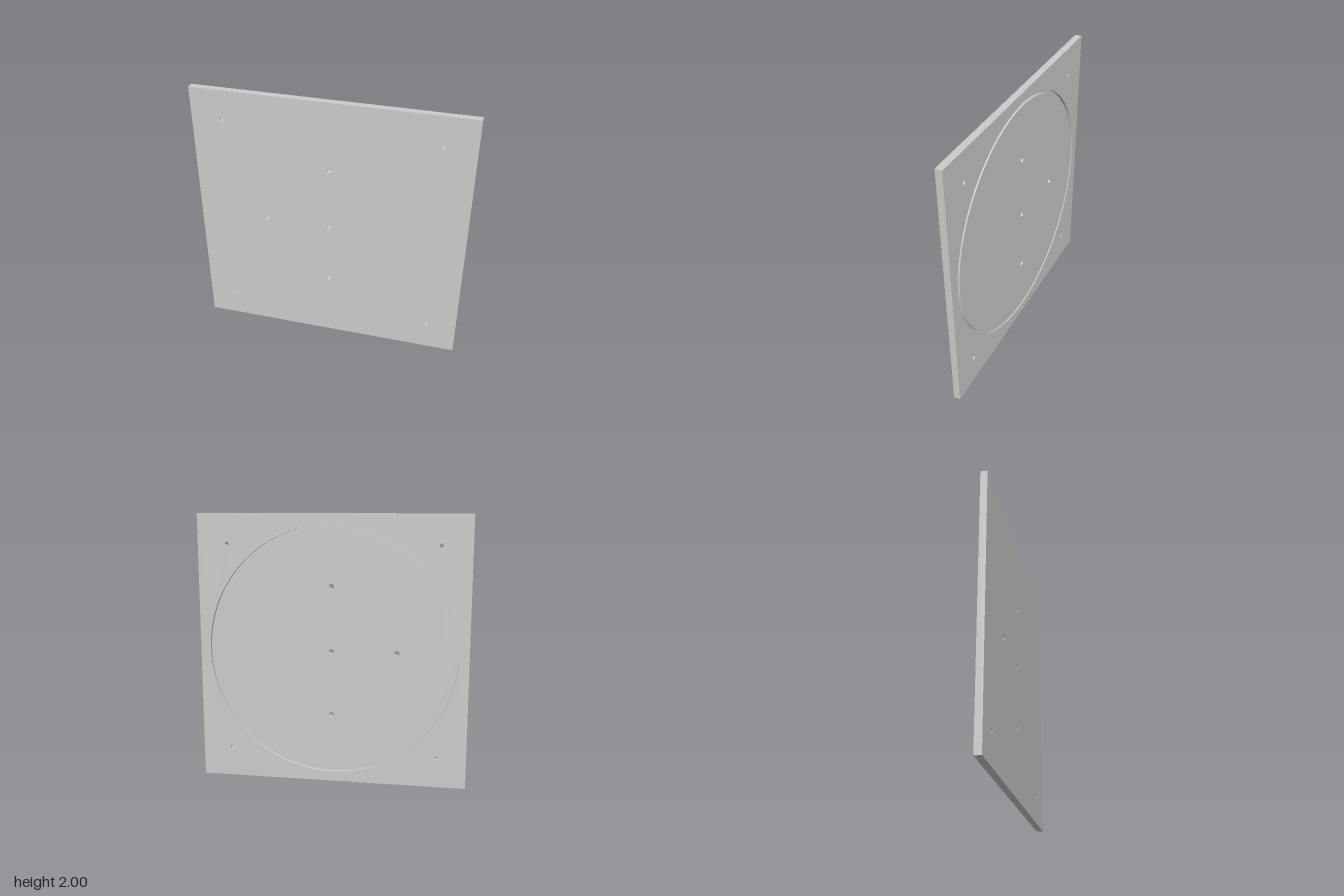
import * as THREE from 'three';

const T = 0.05;             // plate thickness
const OUTER = 0.925, INNER = 0.903, DEPTH = 0.025; // ring groove in the back
const SEG = 96;

// [x, y, radius] measured from the plate centre
const mountHoles = [[0, 0.48, 0.02], [0, 0, 0.02], [0, -0.48, 0.02], [-0.48, 0, 0.02]];
const cornerHoles = [];
for (const x of [-0.778, 0.778]) for (const y of [-0.778, 0.778]) cornerHoles.push([x, y, 0.015]);

const circle = (Type, x, y, r) => new Type().absarc(x, y, r, 0, Math.PI * 2, false);

function square() {
  return new THREE.Shape([[-1, -1], [1, -1], [1, 1], [-1, 1]].map(([x, y]) => new THREE.Vector2(x, y)));
}

function pierce(shape, holes) {
  for (const [x, y, r] of holes) shape.holes.push(circle(THREE.Path, x, y, r));
  return shape;
}

export function createModel() {
  const group = new THREE.Group();
  const solid = new THREE.MeshStandardMaterial({ color: 0xcccccc });
  const open = new THREE.MeshStandardMaterial({ color: 0xcccccc, side: THREE.DoubleSide });

  const add = (name, geometry, z = 0, material = solid) => {
    const mesh = new THREE.Mesh(geometry, material);
    mesh.name = name;
    mesh.position.set(0, 1, z);
    group.add(mesh);
    return mesh;
  };
  // flat face; back faces are turned about y, so their x is mirrored
  const face = (name, shape, z, back) => {
    const mesh = add(name, new THREE.ShapeGeometry(shape, SEG / 2), z);
    if (back) mesh.rotation.y = Math.PI;
  };
  // round wall along z between two depths
  const wall = (name, x, y, r, z0, z1) => {
    const g = new THREE.CylinderGeometry(r, r, z1 - z0, SEG, 1, true).rotateX(Math.PI / 2);
    add(name, g.translate(x, y, (z0 + z1) / 2), 0, open);
  };
  const mirrored = (holes) => holes.map(([x, y, r]) => [-x, y, r]);

  // front and back faces
  face('frontFace', pierce(square(), [...mountHoles, ...cornerHoles]), T / 2, false);
  face('backFrame', pierce(square(), [[0, 0, OUTER], ...cornerHoles]), -T / 2, true);
  face('backDisc', pierce(circle(THREE.Shape, 0, 0, INNER), mirrored(mountHoles)), -T / 2, true);

  // groove floor and walls
  face('grooveFloor', pierce(circle(THREE.Shape, 0, 0, OUTER), [[0, 0, INNER]]), -T / 2 + DEPTH, true);
  for (const r of [INNER, OUTER]) wall('grooveWall', 0, 0, r, -T / 2, -T / 2 + DEPTH);

  // through holes
  for (const [x, y, r] of mountHoles) wall('mountHole', x, y, r, -T / 2, T / 2);
  for (const [x, y, r] of cornerHoles) wall('cornerHole', x, y, r, -T / 2, T / 2);

  // four plate edges
  for (let i = 0; i < 4; i++) {
    const g = new THREE.PlaneGeometry(2, T).rotateX(-Math.PI / 2).translate(0, 1, 0);
    add('plateEdge', g.rotateZ(i * Math.PI / 2));
  }
  return group;
}
